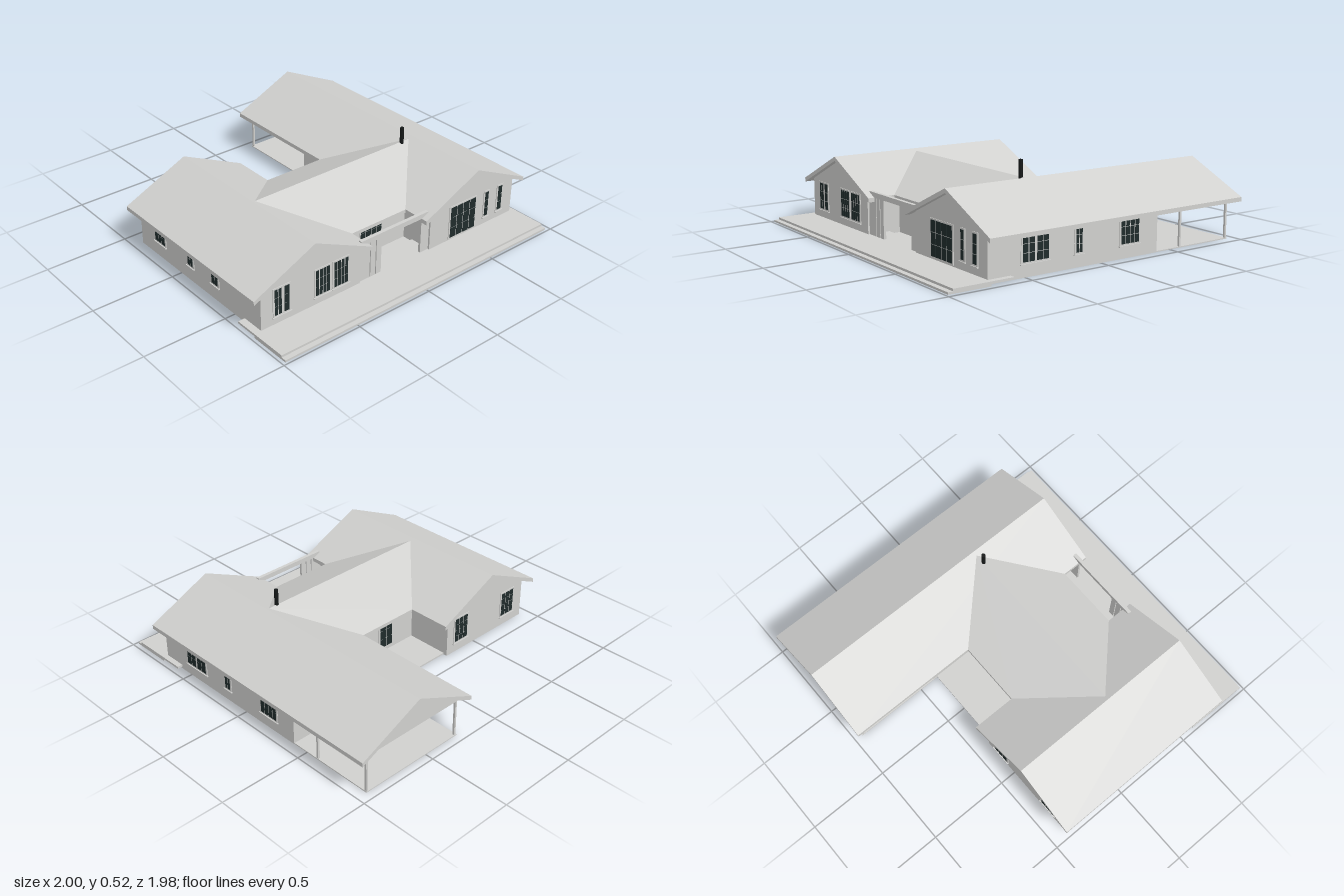
import * as THREE from 'three';

const mat = (name, color, extra = {}) => {
  const m = new THREE.MeshStandardMaterial({ color, ...extra });
  m.name = name;
  return m;
};

export function createModel() {
  const house = new THREE.Group();
  house.name = 'house';
  const plaster = mat('pale grey', 0xd0d0ce);
  const glass = mat('dark glass', 0x1f2b2b);
  const black = mat('chimney black', 0x151818);

  const add = (name, geo, material = plaster, parent = house) => {
    const m = new THREE.Mesh(geo, material);
    m.name = name;
    parent.add(m);
    return m;
  };
  // box given by its limits on each axis
  const box = (name, x0, x1, y0, y1, z0, z1, material, parent) => {
    const m = add(name, new THREE.BoxGeometry(x1 - x0, y1 - y0, z1 - z0), material, parent);
    m.position.set((x0 + x1) / 2, (y0 + y1) / 2, (z0 + z1) / 2);
    return m;
  };
  // profile in x/y extruded from z0 to z1 around a centre x
  const extrude = (name, pts, x, z0, z1) => {
    const shape = new THREE.Shape(pts.map(p => new THREE.Vector2(...p)));
    const m = add(name, new THREE.ExtrudeGeometry(shape, { depth: z1 - z0, bevelEnabled: false }));
    m.position.set(x, 0, z0);
  };

  // floor slabs and front terrace
  box('floorSlab', -0.935, 0.935, 0, 0.01, -0.375, 0.73);
  box('carportFloor', 0.26, 0.935, 0, 0.006, -0.95, -0.37);
  box('terraceStep', -0.98, 0.97, 0, 0.012, 0.73, 0.985);
  box('terrace', -0.98, 0.97, 0.012, 0.025, 0.59, 0.955);

  // two gabled wings
  const roofProfile = [[0, 0.435], [-0.4, 0.25], [-0.4, 0.225], [0, 0.41], [0.4, 0.225], [0.4, 0.25]];
  const wallProfile = [[-0.337, 0], [0.337, 0], [0.337, 0.254], [0, 0.41], [-0.337, 0.254]];
  for (const [side, x, back] of [['right', -0.6, -0.44], ['left', 0.6, -0.99]]) {
    extrude(side + 'WingWalls', wallProfile, x, -0.4, 0.73);
    extrude(side + 'WingRoof', roofProfile, x, back, 0.76);
  }

  // carport gable, ceiling and posts
  extrude('carportGable', [[-0.337, 0.23], [0.337, 0.23], [0.337, 0.254], [0, 0.41], [-0.337, 0.254]], 0.6, -0.95, -0.93);
  box('carportCeiling', 0.263, 0.937, 0.23, 0.238, -0.93, -0.4);
  for (const [x, z] of [[0.927, -0.58], [0.927, -0.94], [0.27, -0.94]])
    box('carportPost', x - 0.006, x + 0.006, 0, 0.235, z - 0.006, z + 0.006);

  // middle block
  box('middleWalls', -0.27, 0.27, 0, 0.255, -0.11, 0.52);

  // middle roof: two sloping trapezoid slabs meeting the wing roofs in valleys
  const slope = (name, zEave) => {
    const top = [[-0.575, 0.423, 0.21], [0.575, 0.423, 0.21], [0.2, 0.25, zEave], [-0.2, 0.25, zEave]];
    const pts = [...top, ...top.map(([x, y, z]) => [x, y - 0.022, z])];
    const quads = [[0, 3, 2, 1], [4, 5, 6, 7]];
    for (let i = 0; i < 4; i++) quads.push([i, (i + 1) % 4, (i + 1) % 4 + 4, i + 4]);
    const pos = [];
    for (const q of quads) {
      const order = zEave > 0.21 ? q : [...q].reverse();
      for (const k of [0, 1, 2, 0, 2, 3]) pos.push(...pts[order[k]]);
    }
    const g = new THREE.BufferGeometry();
    g.setAttribute('position', new THREE.Float32BufferAttribute(pos, 3));
    g.computeVertexNormals();
    add(name, g, roofMat);
  };
  const roofMat = plaster.clone();
  roofMat.side = THREE.DoubleSide;
  slope('middleRoofFront', 0.59);
  slope('middleRoofBack', -0.17);

  // entrance screen between the wings
  for (const [a, b] of [[-0.262, -0.184], [-0.178, -0.142], [-0.136, -0.1], [0.2, 0.262]])
    box('entrancePier', a, b, 0.01, 0.25, 0.705, 0.72);
  box('entranceBeam', -0.25, 0.25, 0.25, 0.28, 0.7, 0.722);

  // window: frame plate, grid of panes and a sill, facing +z before turning
  const windowUnit = (name, x, z, turn, w, y0, y1, cols, rows, sill = true) => {
    const g = new THREE.Group();
    g.name = name;
    box('frame', -w / 2 - 0.008, w / 2 + 0.008, y0 - 0.008, y1 + 0.008, 0, 0.004, plaster, g);
    const pw = w / cols, ph = (y1 - y0) / rows;
    for (let c = 0; c < cols; c++) for (let r = 0; r < rows; r++) {
      const px = -w / 2 + c * pw, py = y0 + r * ph;
      box('pane', px + 0.003, px + pw - 0.003, py + 0.0015, py + ph - 0.0015, 0.002, 0.006, glass, g);
    }
    if (sill) box('sill', -w / 2 - 0.012, w / 2 + 0.012, y0 - 0.014, y0 - 0.008, 0, 0.01, plaster, g);
    g.position.set(x, 0, z);
    g.rotation.y = turn;
    house.add(g);
  };

  // front windows and glazed doors
  for (const [x, w, cols] of [[-0.827, 0.05, 2], [-0.77, 0.037, 1], [-0.528, 0.1, 4], [-0.402, 0.1, 4], [0.717, 0.032, 1], [0.83, 0.036, 1]])
    windowUnit('frontWindow', x, 0.73, 0, w, 0.08, 0.24, cols, 3);
  windowUnit('terraceDoor', 0.523, 0.73, 0, 0.205, 0.04, 0.24, 4, 3, false);
  windowUnit('entranceDoor', 0, 0.52, 0, 0.16, 0.04, 0.225, 4, 3, false);

  // outer side windows
  const q = Math.PI / 2;
  for (const [z, w, cols] of [[0.48, 0.08, 2], [0.39, 0.08, 2], [0.152, 0.046, 2], [-0.2, 0.13, 4]])
    windowUnit('leftSideWindow', 0.937, z, q, w, 0.08, 0.225, cols, 3);
  for (const [z, w, cols] of [[-0.2, 0.1, 3], [0.1, 0.05, 2], [0.33, 0.06, 2]])
    windowUnit('rightSideWindow', -0.937, z, -q, w, 0.1, 0.225, cols, 3);

  // back and courtyard windows
  for (const x of [-0.38, -0.8]) windowUnit('backWindow', x, -0.4, Math.PI, 0.11, 0.07, 0.225, 3, 4);
  windowUnit('courtyardWindow', 0.17, -0.11, Math.PI, 0.08, 0.09, 0.215, 2, 3);
  windowUnit('courtyardWindow', -0.04, -0.11, Math.PI, 0.1, 0.04, 0.215, 2, 3, false);
  windowUnit('courtyardWindow', 0.263, -0.22, -q, 0.09, 0.08, 0.22, 2, 3);

  // chimney flue
  const flue = add('chimney', new THREE.CylinderGeometry(0.012, 0.012, 0.13, 16), black);
  flue.position.set(0.513, 0.455, 0.215);

  return house;
}
